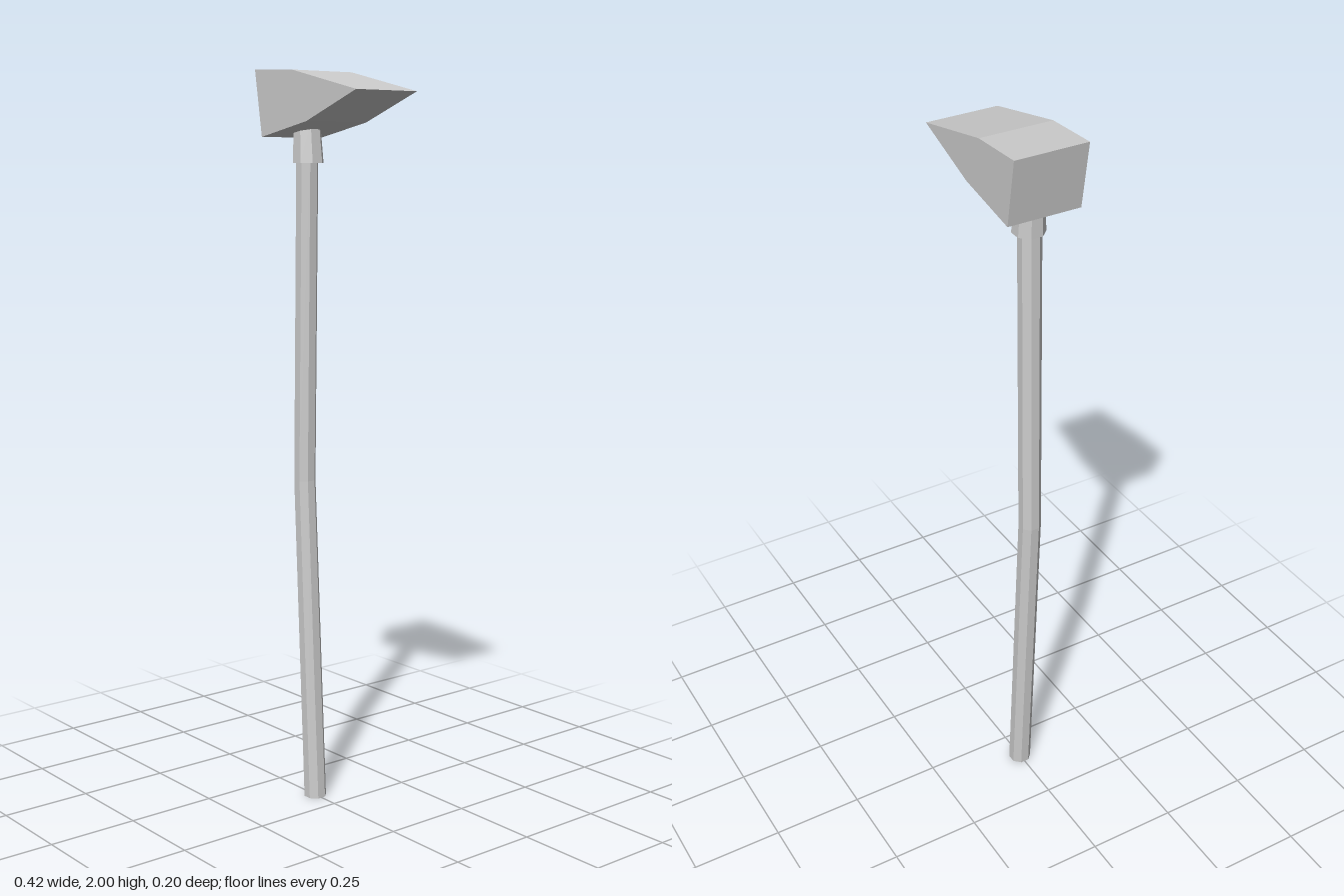
import * as THREE from 'three';

const material = new THREE.MeshStandardMaterial({ color: 0xcccccc, flatShading: true });

// Eight-sided rod through a list of [x, y, radius] levels, flats facing the axes
function rod(name, levels) {
  const geo = new THREE.CylinderGeometry(1, 1, 1, 8, levels.length - 1);
  geo.rotateY(Math.PI / 8);
  const p = geo.attributes.position;
  const flat = 1 / Math.cos(Math.PI / 8);
  for (let i = 0; i < p.count; i++) {
    const k = Math.round((p.getY(i) + 0.5) * (levels.length - 1));
    const [x, y, r] = levels[k];
    p.setXYZ(i, x + p.getX(i) * r * flat, y, p.getZ(i) * r * flat);
  }
  geo.computeVertexNormals();
  const mesh = new THREE.Mesh(geo, material);
  mesh.name = name;
  return mesh;
}

export function createModel() {
  const group = new THREE.Group();
  group.name = 'handTool';

  // Bent handle
  group.add(rod('handle', [
    [-0.085, 0, 0.029],
    [-0.128, 0.9, 0.028],
    [-0.113, 1.8, 0.028],
  ]));

  // Collar joining handle and head, slightly narrower at the top
  group.add(rod('collar', [
    [-0.109, 1.757, 0.039],
    [-0.114, 1.86, 0.034],
  ]));

  // Wedge head: side profile extruded across z
  const profile = [
    [-0.18, 1.825], [0.01, 1.862], [0.208, 1.935], [-0.05, 1.993], [-0.208, 2],
  ];
  const shape = new THREE.Shape(profile.map(([x, y]) => new THREE.Vector2(x, y)));
  const headGeo = new THREE.ExtrudeGeometry(shape, { depth: 0.2, bevelEnabled: false });
  headGeo.translate(0, 0, -0.1);
  const head = new THREE.Mesh(headGeo, material);
  head.name = 'wedgeHead';
  group.add(head);

  return group;
}
